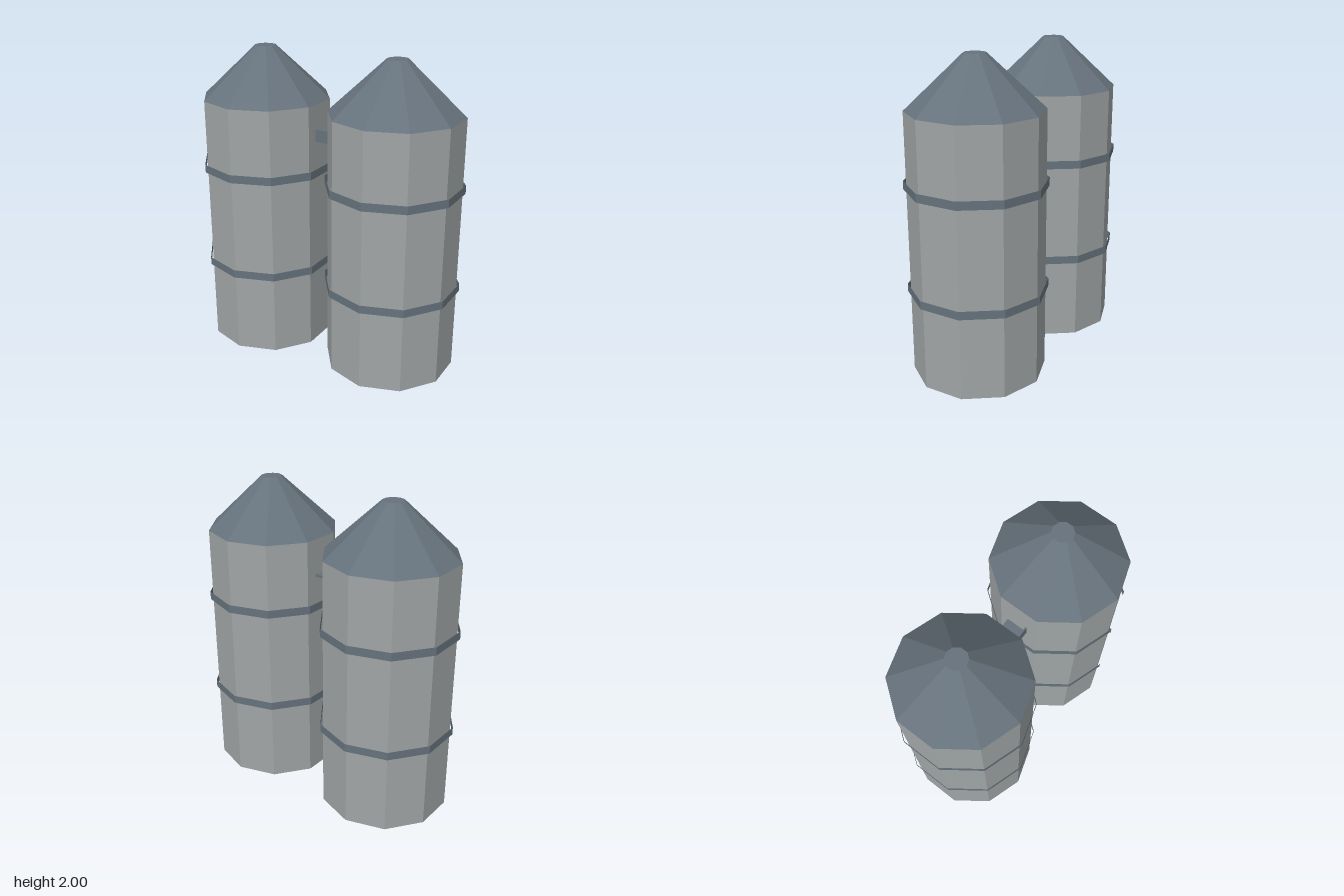
import * as THREE from 'three';

const SIDES = 10;
const RADIUS = 0.42;
const WALL_TOP = 1.67;

export function createModel() {
  const concrete = new THREE.MeshStandardMaterial({ color: 0xa0a5a5, flatShading: true });
  concrete.name = 'concrete grey';
  const slate = new THREE.MeshStandardMaterial({ color: 0x66727c, flatShading: true, side: THREE.DoubleSide });
  slate.name = 'slate metal';

  const model = new THREE.Group();
  model.name = 'twinSilos';

  const add = (parent, name, geometry, material, x, y, z) => {
    const mesh = new THREE.Mesh(geometry, material);
    mesh.name = name;
    mesh.position.set(x, y, z);
    parent.add(mesh);
  };

  // Two mirrored silos: wall, truncated cone roof and two open hoops
  for (const [name, x] of [['rightSilo', -0.467], ['leftSilo', 0.467]]) {
    const silo = new THREE.Group();
    silo.name = name;
    silo.position.x = x;
    add(silo, 'wall', new THREE.CylinderGeometry(RADIUS, RADIUS, WALL_TOP, SIDES), concrete, 0, WALL_TOP / 2, 0);
    const roofHeight = 2 - WALL_TOP;
    add(silo, 'roof', new THREE.CylinderGeometry(0.067, RADIUS, roofHeight, SIDES), slate, 0, WALL_TOP + roofHeight / 2, 0);
    for (const y of [0.56, 1.225]) {
      add(silo, 'hoop', new THREE.CylinderGeometry(0.438, 0.438, 0.053, SIDES, 1, true), slate, 0, y, 0);
    }
    model.add(silo);
  }

  // Catwalk between the silos: a thin floor with an upright plate along its front
  const catwalk = new THREE.Group();
  catwalk.name = 'catwalk';
  add(catwalk, 'floor', new THREE.BoxGeometry(0.112, 0.015, 0.132), slate, 0, 1.442, -0.004);
  add(catwalk, 'frontRail', new THREE.BoxGeometry(0.112, 0.08, 0.008), slate, 0, 1.475, 0.066);
  model.add(catwalk);

  return model;
}
